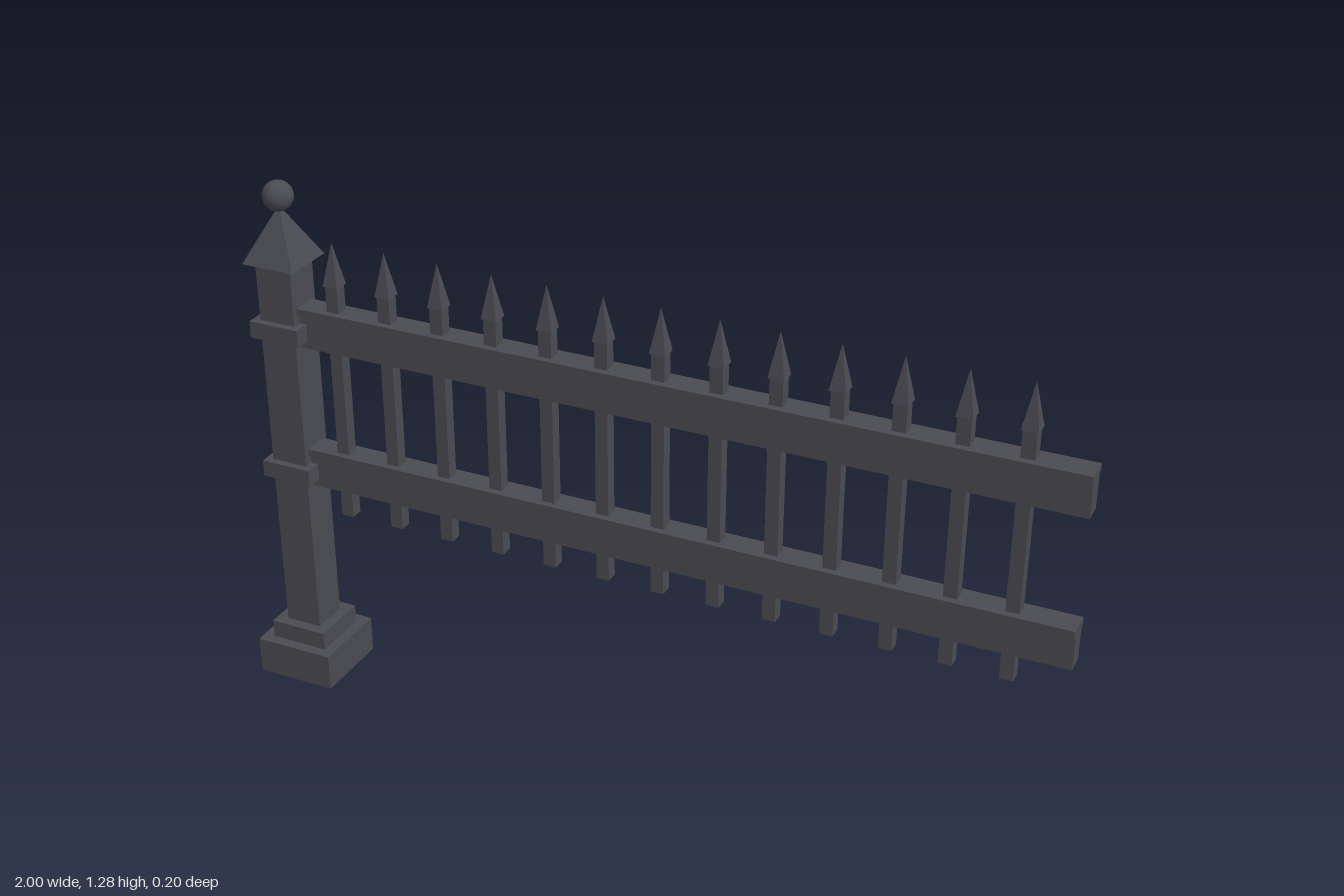
import * as THREE from 'three';

export function createModel() {
  const fence = new THREE.Group();
  fence.name = 'fenceSection';

  const iron = new THREE.MeshStandardMaterial({ color: 0x4a4a52 });
  iron.name = 'dark iron';

  const add = (name, geometry, x, y, z = 0, parent = fence) => {
    const mesh = new THREE.Mesh(geometry, iron);
    mesh.name = name;
    mesh.position.set(x, y, z);
    parent.add(mesh);
    return mesh;
  };

  // Box given by its half width, depth and vertical range
  const block = (name, x, width, depth, y0, y1, parent) =>
    add(name, new THREE.BoxGeometry(width, y1 - y0, depth), x, (y0 + y1) / 2, 0, parent);

  // Four-sided pyramid with its sides square to the axes
  const pyramid = (name, x, half, y0, y1, parent) => {
    const g = new THREE.ConeGeometry(half * Math.SQRT2, y1 - y0, 4).toNonIndexed();
    g.rotateY(Math.PI / 4);
    g.computeVertexNormals();
    return add(name, g, x, (y0 + y1) / 2, 0, parent);
  };

  // Post with stepped base, collars, pointed cap and ball
  const post = new THREE.Group();
  post.name = 'post';
  post.position.x = -0.9;
  fence.add(post);
  block('base', 0, 0.2, 0.2, 0, 0.092, post);
  block('baseStep', 0, 0.146, 0.146, 0.092, 0.137, post);
  block('postShaft', 0, 0.092, 0.092, 0.137, 1.09, post);
  block('lowerCollar', 0, 0.128, 0.128, 0.544, 0.585, post);
  block('upperCollar', 0, 0.128, 0.128, 0.907, 0.948, post);
  pyramid('postCap', 0, 0.067, 1.09, 1.22, post);
  add('ballFinial', new THREE.SphereGeometry(0.036, 24, 16), 0, 1.243, 0, post);

  // Two rails, each with a wider lip along the top
  const railStart = -0.87, railEnd = 1;
  const railX = (railStart + railEnd) / 2, railLength = railEnd - railStart;
  for (const [name, y] of [['lowerRail', 0.525], ['upperRail', 0.887]]) {
    block(name, railX, railLength, 0.046, y, y + 0.083);
    block(name + 'Lip', railX, railLength, 0.064, y + 0.083, y + 0.1);
  }

  // Pickets with spear heads
  for (let i = 0; i < 13; i++) {
    const picket = new THREE.Group();
    picket.name = 'picket';
    picket.position.x = -0.767 + i * 0.1357;
    fence.add(picket);
    block('picketBar', 0, 0.031, 0.031, 0.457, 1.055, picket);
    pyramid('spearHead', 0, 0.019, 1.05, 1.153, picket);
  }

  return fence;
}
